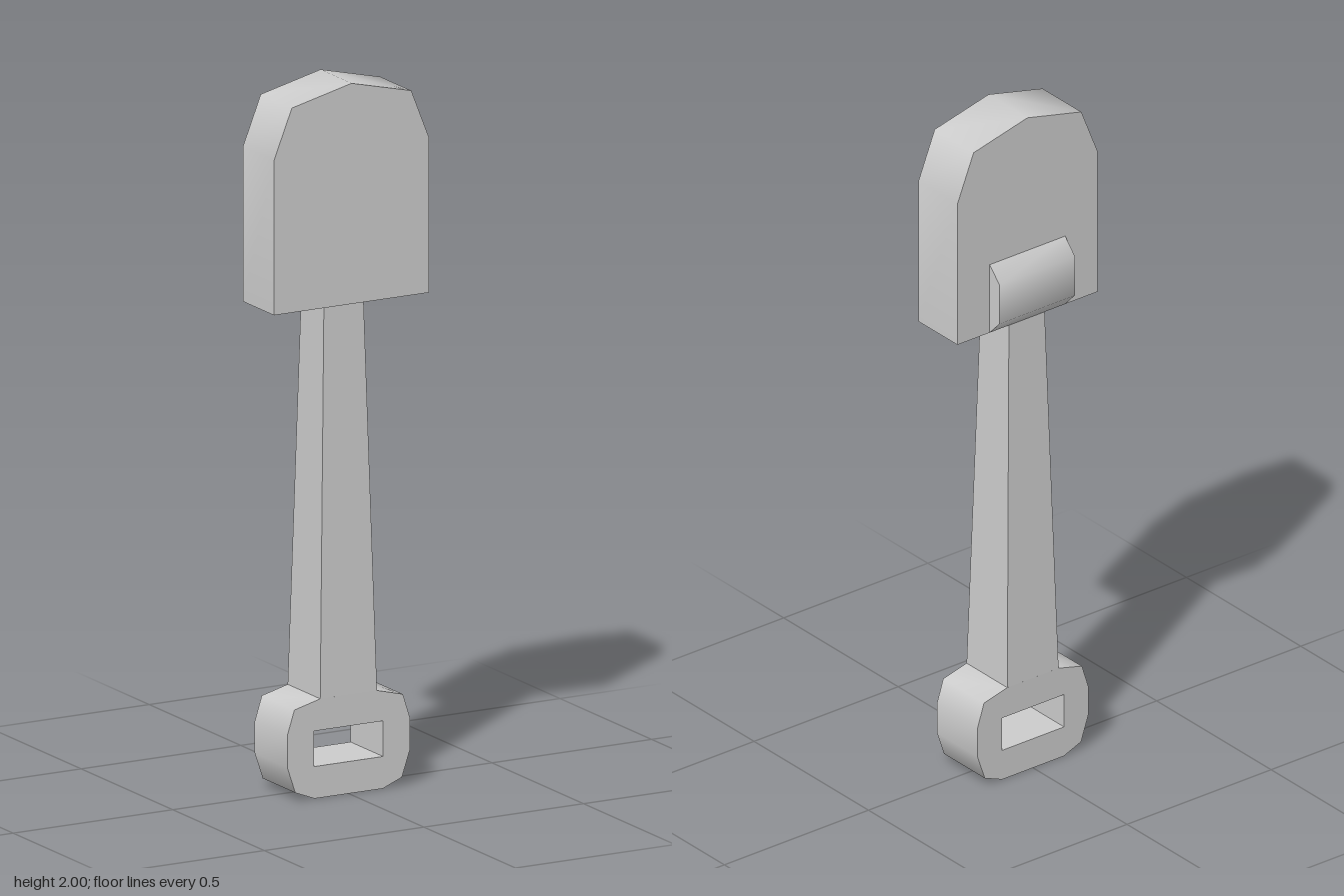
import * as THREE from 'three';
import { toCreasedNormals } from 'three/addons/utils/BufferGeometryUtils.js';

const material = new THREE.MeshStandardMaterial({ color: 0xcccccc });

function addPart(group, name, geometry) {
  const mesh = new THREE.Mesh(toCreasedNormals(geometry, Math.PI / 3), material);
  mesh.name = name;
  group.add(mesh);
  return mesh;
}

// Closed outline mirrored across x = 0, from its right half listed bottom to top
function mirroredShape(half) {
  const left = half.filter(([x]) => x > 0).reverse().map(([x, y]) => [-x, y]);
  return new THREE.Shape([...half, ...left].map(([x, y]) => new THREE.Vector2(x, y)));
}

function extrude(shape, depth) {
  return new THREE.ExtrudeGeometry(shape, { depth, bevelEnabled: false });
}

export function createModel() {
  const group = new THREE.Group();
  group.name = 'spade';

  // Thick blade with a blunt point, set slightly forward
  const blade = mirroredShape([[0.243, 1.38], [0.243, 1.815], [0.187, 1.955], [0, 2]]);
  addPart(group, 'blade', extrude(blade, 0.17).translate(0, 0, -0.065));

  // Bevelled lug on the back of the blade: profile in (z, y), extruded along x
  const lug = new THREE.Shape([[0.065, 1.38], [0.108, 1.425], [0.108, 1.545], [0.065, 1.59]]
    .map(([z, y]) => new THREE.Vector2(z, y)));
  addPart(group, 'backLug', extrude(lug, 0.262).translate(0, 0, -0.131).rotateY(Math.PI / 2));

  // Square shaft, tapering towards the blade
  const shaft = new THREE.CylinderGeometry(0.062 * Math.SQRT2, 0.089 * Math.SQRT2, 1.105, 4);
  addPart(group, 'shaft', shaft.rotateY(Math.PI / 4).translate(0, 0.8275, 0));

  // Grip with a rectangular hand hole
  const grip = mirroredShape([
    [0.107, 0], [0.167, 0.024], [0.192, 0.098], [0.192, 0.188], [0.17, 0.257], [0.089, 0.278],
  ]);
  grip.holes.push(new THREE.Path([[-0.108, 0.09], [-0.108, 0.19], [0.108, 0.19], [0.108, 0.09]]
    .map(([x, y]) => new THREE.Vector2(x, y))));
  addPart(group, 'grip', extrude(grip, 0.178).translate(0, 0, -0.089));

  return group;
}
